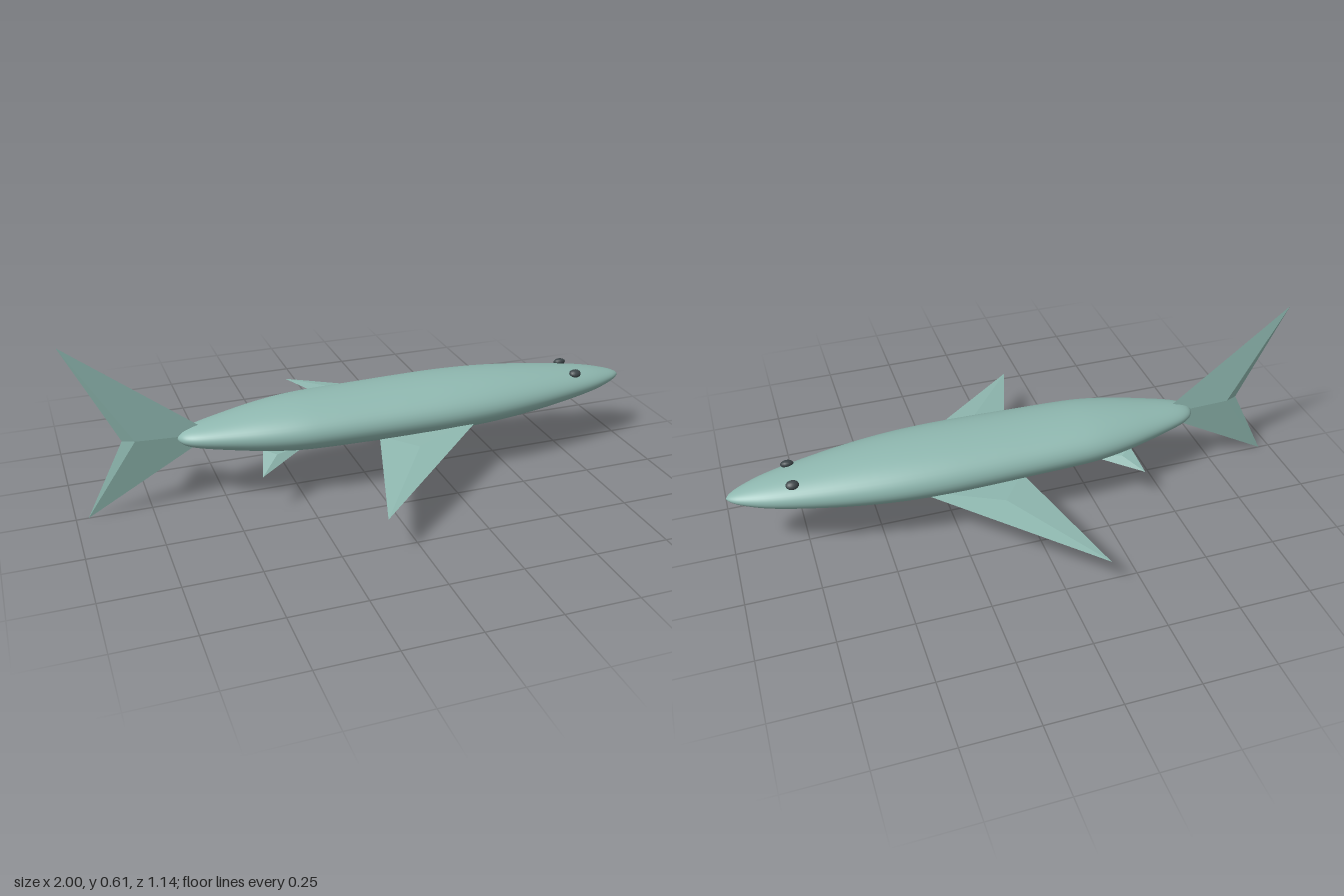
import * as THREE from 'three';

const skin = new THREE.MeshStandardMaterial({ color: 0x8fb8b0 });
skin.name = 'sea green skin';
const finSkin = skin.clone();
finSkin.name = 'sea green fin';
finSkin.flatShading = true;
const eyeDark = new THREE.MeshStandardMaterial({ color: 0x3c4548 });
eyeDark.name = 'dark eye';

// Thin faceted fin: a tip, a leading and a trailing point, and a ridge point on either face
function makeFin(name, tip, lead, trail, ridgeA, ridgeB) {
  const pts = [tip, lead, trail, ridgeA, ridgeB].map((p) => new THREE.Vector3(...p));
  const outline = [[0, 1], [1, 2], [2, 0]];
  const middle = pts[3].clone().add(pts[4]).multiplyScalar(0.5);
  const positions = [];
  for (const ridge of [3, 4]) {
    const outward = pts[ridge].clone().sub(middle);
    for (const [i, j] of outline) {
      const a = pts[i], b = pts[j], c = pts[ridge];
      const n = b.clone().sub(a).cross(c.clone().sub(a));
      const ordered = n.dot(outward) > 0 ? [a, b, c] : [b, a, c];
      ordered.forEach((p) => positions.push(p.x, p.y, p.z));
    }
  }
  const geometry = new THREE.BufferGeometry();
  geometry.setAttribute('position', new THREE.Float32BufferAttribute(positions, 3));
  geometry.computeVertexNormals();
  const mesh = new THREE.Mesh(geometry, finSkin);
  mesh.name = name;
  return mesh;
}

export function createModel() {
  const model = new THREE.Group();
  model.name = 'fish';

  // Body: lathed along x, then flattened in height
  const profile = [
    [0, -0.652], [0.022, -0.645], [0.045, -0.625], [0.068, -0.58], [0.1, -0.48],
    [0.13, -0.37], [0.15, -0.26], [0.157, -0.15], [0.161, 0], [0.165, 0.15],
    [0.166, 0.3], [0.158, 0.45], [0.138, 0.6], [0.108, 0.75], [0.076, 0.87],
    [0.042, 0.95], [0.018, 0.985], [0, 0.997],
  ].map(([r, x]) => new THREE.Vector2(r, x));
  const smooth = new THREE.SplineCurve(profile).getPoints(70);
  smooth.forEach((p) => { p.x = Math.max(0, p.x); });
  const bodyGeometry = new THREE.LatheGeometry(smooth, 48);
  bodyGeometry.rotateZ(-Math.PI / 2);
  bodyGeometry.scale(1, 0.55, 1);
  const body = new THREE.Mesh(bodyGeometry, skin);
  body.name = 'body';
  body.position.y = 0.241;
  model.add(body);

  // Forked tail: two lobes sharing the same root
  for (const [name, tip] of [['upperTailLobe', [-1, 0.605, 0]], ['lowerTailLobe', [-0.96, 0, 0]]]) {
    model.add(makeFin(name, tip, [-0.53, 0.24, 0], [-0.83, 0.26, 0],
      [-0.79, 0.258, 0.014], [-0.79, 0.258, -0.014]));
  }

  for (const s of [1, -1]) {
    const side = s > 0 ? 'near' : 'far';
    // Long pectoral fins
    model.add(makeFin(side + 'PectoralFin', [-0.125, 0.146, s * 0.57], [0.4, 0.203, s * 0.1],
      [0.02, 0.185, s * 0.1], [0.115, 0.191, s * 0.23], [0.115, 0.166, s * 0.23]));
    // Small pelvic fins
    model.add(makeFin(side + 'PelvicFin', [-0.41, 0.14, s * 0.172], [-0.23, 0.185, s * 0.075],
      [-0.385, 0.195, s * 0.085], [-0.345, 0.183, s * 0.112], [-0.345, 0.168, s * 0.1]));
    // Eyes
    const eye = new THREE.Mesh(new THREE.SphereGeometry(1, 16, 10), eyeDark);
    eye.name = side + 'Eye';
    eye.scale.set(0.022, 0.013, 0.017);
    eye.position.set(0.785, 0.291, s * 0.059);
    eye.rotation.x = s * 0.45;
    model.add(eye);
  }
  return model;
}
